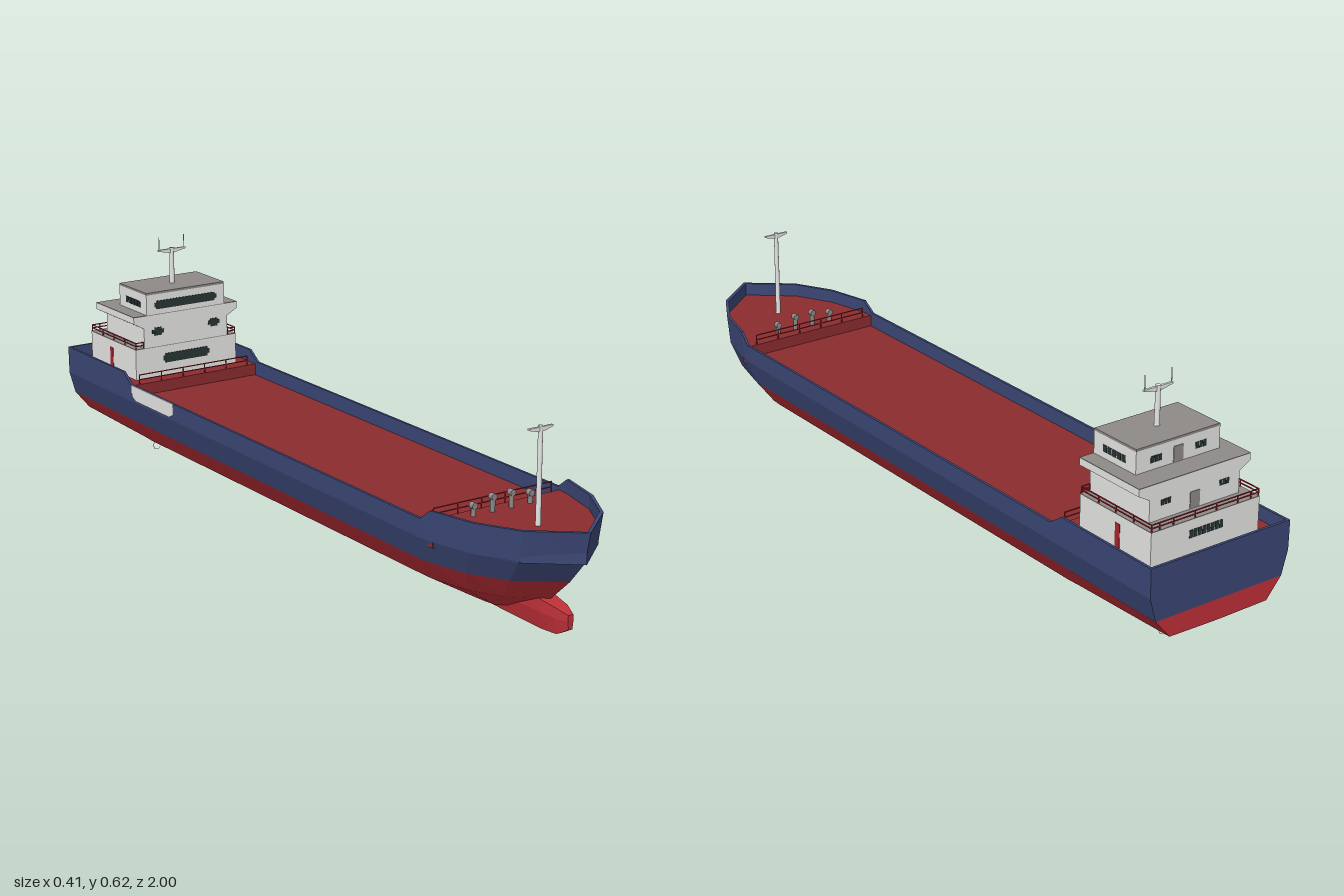
import * as THREE from 'three';

const mat = (name, color, double) => {
  const m = new THREE.MeshStandardMaterial({ color });
  m.name = name;
  if (double) m.side = THREE.DoubleSide;
  return m;
};

export function createModel() {
  const ship = new THREE.Group();
  ship.name = 'cargoShip';
  const blue = mat('hullBlue', 0x3b4674, true);
  const red = mat('hullRed', 0xbe3038, true);
  const deckRed = mat('deckRed', 0x8b2c2e);
  const white = mat('houseWhite', 0xe6e6e5);
  const grey = mat('roofGrey', 0x8e8a88);
  const glass = mat('windowDark', 0x263433);
  const railRed = mat('railRed', 0xa8242d);

  const add = (name, geo, material, parent = ship) => {
    const m = new THREE.Mesh(geo, material);
    m.name = name;
    parent.add(m);
    return m;
  };
  // Box given by its min and max corners
  const box = (name, x0, x1, y0, y1, z0, z1, material, parent) => {
    const m = add(name, new THREE.BoxGeometry(x1 - x0, y1 - y0, z1 - z0), material, parent);
    m.position.set((x0 + x1) / 2, (y0 + y1) / 2, (z0 + z1) / 2);
    return m;
  };
  const rod = (name, x, y0, y1, z, r0, r1, material, parent, sides = 8) => {
    const m = add(name, new THREE.CylinderGeometry(r1, r0, y1 - y0, sides), material, parent);
    m.position.set(x, (y0 + y1) / 2, z);
    return m;
  };
  const shape = (points) => new THREE.Shape(points.map(([x, y]) => new THREE.Vector2(x, y)));
  const extrude = (points, depth) =>
    new THREE.ExtrudeGeometry(shape(points), { depth, bevelEnabled: false });
  // Faceted skin between successive rows of points
  const loft = (rows, closed = true) => {
    const p = [];
    for (let r = 0; r + 1 < rows.length; r++) {
      const a = rows[r], b = rows[r + 1], n = a.length;
      for (let i = 0; i < (closed ? n : n - 1); i++) {
        const j = (i + 1) % n;
        p.push(...a[i], ...b[i], ...b[j], ...a[i], ...b[j], ...a[j]);
      }
    }
    const g = new THREE.BufferGeometry();
    g.setAttribute('position', new THREE.Float32BufferAttribute(p, 3));
    g.computeVertexNormals();
    return g;
  };
  const mirror = (half) => half.map(([x, y, z]) => [-x, y, z]);
  const ring = (half) => [...half, ...mirror(half).reverse()];

  // Hull: one half line per level, running from stern to bow
  const sternZ = [-1, -0.85, -0.69, -0.65];
  const bow = [[0, 1], [0.1, 0.985], [0.45, 0.84], [0.74, 0.56], [1, 0]];
  const level = (w, sternY, y, z0, z1, bowY = bow.map(() => y)) => [
    ...sternZ.map((z, i) => [w, sternY[i], z]),
    ...bow.map(([t, f], i) => [w * f, bowY[i], z0 + (z1 - z0) * t]),
  ];
  const keel = level(0.022, [0.103, 0.098, 0.04, 0.025], 0.025, 0.6, 0.72);
  const bilge = level(0.143, [0.105, 0.101, 0.097, 0.095], 0.095, 0.6, 0.87);
  const water = level(0.185, [0.155, 0.155, 0.155, 0.155], 0.155, 0.62, 0.935);
  const knuckle = level(0.202, [0.215, 0.215, 0.215, 0.215], 0.215, 0.64, 0.985);
  const rim = level(0.203, [0.289, 0.289, 0.289, 0.262], 0.289, 0.65, 1, [0.262, 0.289, 0.289, 0.289, 0.289]);
  const inner = rim.map(([x, y, z]) => [x * 0.967, y, z > 0.7 ? z * 0.99 : Math.max(z, -0.993)]);
  const innerFoot = inner.map(([x, , z]) => [x, 0.212, z]);
  add('lowerHull', loft([ring(keel), ring(bilge), ring(water)]), red);
  add('hullBottom', loft([mirror(keel), keel], false), red);
  add('upperHull', loft([ring(water), ring(knuckle), ring(rim)]), blue);
  add('bulwark', loft([ring(rim), ring(inner), ring(innerFoot)]), blue);

  // Bulbous bow and stern skeg: six-sided sections [z, halfWidth, bottom, top]
  const body = (name, sections) => {
    const rows = sections.map(([z, w, b, t]) => [
      [w * 0.9, t, z], [w, t * 0.6 + b * 0.4, z], [w * 0.7, b, z],
      [-w * 0.7, b, z], [-w, t * 0.6 + b * 0.4, z], [-w * 0.9, t, z]]);
    for (const end of [0, rows.length - 1]) {
      const [z, , b, t] = sections[end];
      const centre = rows[end].map(() => [0, (b + t) / 2, z]);
      end ? rows.push(centre) : rows.unshift(centre);
    }
    add(name, loft(rows), red);
  };
  body('bulbousBow', [[0.62, 0.02, 0.025, 0.08], [0.86, 0.025, 0.025, 0.097],
    [0.91, 0.019, 0.027, 0.09], [0.942, 0.008, 0.045, 0.08]]);
  body('skeg', [[-0.5, 0.025, 0.025, 0.06], [-0.65, 0.024, 0.025, 0.08], [-0.83, 0.01, 0.025, 0.1]]);

  // Propeller
  const prop = new THREE.Group();
  prop.name = 'propeller';
  prop.position.set(0, 0.039, -0.838);
  ship.add(prop);
  add('hub', new THREE.CylinderGeometry(0.008, 0.006, 0.03, 10).rotateX(Math.PI / 2), white, prop);
  const bladeOutline = [[-0.004, 0.004], [0.004, 0.004], [0.011, 0.026], [0.009, 0.04],
    [0, 0.046], [-0.009, 0.04], [-0.011, 0.026]];
  for (let i = 0; i < 5; i++) {
    const blade = add('blade', extrude(bladeOutline, 0.004).translate(0, 0, -0.002).rotateY(0.45), white, prop);
    blade.rotation.z = i * Math.PI * 0.4;
  }

  // Decks
  box('mainDeck', -0.195, 0.195, 0.2, 0.224, -0.67, 0.69, deckRed);
  box('aftDeck', -0.196, 0.196, 0.215, 0.255, -0.993, -0.66, deckRed);
  const fore = ring([[inner[4][0], 0, 0.655], ...inner.slice(5)]);
  add('foreDeck', extrude(fore.map(([x, , z]) => [x, -z]), 0.04)
    .rotateX(-Math.PI / 2).translate(0, 0.215, 0), deckRed);

  // Railings along x or z, with posts and two bars
  const rail = (name, x0, x1, z0, z1, y, h, n) => {
    const g = new THREE.Group();
    g.name = name;
    ship.add(g);
    const r = 0.0012;
    for (const k of [0.5, 1])
      box('bar', x0 - r, x1 + r, y + h * k - r, y + h * k + r, z0 - r, z1 + r, railRed, g);
    for (let i = 0; i <= n; i++) {
      const x = x0 + (x1 - x0) * i / n, z = z0 + (z1 - z0) * i / n;
      box('post', x - r, x + r, y, y + h, z - r, z + r, railRed, g);
    }
  };
  rail('foreRail', -0.17, 0.17, 0.658, 0.658, 0.255, 0.026, 5);
  rail('aftRail', -0.17, 0.17, -0.662, -0.662, 0.255, 0.026, 5);

  // Deckhouse tiers; the middle one flares out to the bridge wings
  box('lowerTier', -0.158, 0.158, 0.25, 0.338, -0.945, -0.7, white);
  box('lowerTierRoof', -0.158, 0.158, 0.338, 0.34, -0.945, -0.7, grey);
  const half = [[0.131, 0.34], [0.131, 0.394], [0.162, 0.411], [0.162, 0.428]];
  add('middleTier', extrude(ring(half), 0.205).translate(0, 0, -0.905), white);
  box('wingDeck', -0.162, 0.162, 0.428, 0.43, -0.905, -0.7, grey);
  box('bridge', -0.122, 0.122, 0.43, 0.485, -0.845, -0.7, white);
  box('bridgeRoof', -0.122, 0.122, 0.485, 0.491, -0.845, -0.7, grey);
  for (const s of [-1, 1]) rail('sideRail', s * 0.156, s * 0.156, -0.943, -0.702, 0.34, 0.017, 4);
  rail('backRail', -0.156, 0.156, -0.943, -0.943, 0.34, 0.017, 5);
  for (const z of [-0.702, -0.943])
    for (const s of [-1, 1]) {
      const a = s * 0.133, b = s * 0.156;
      rail('endRail', Math.min(a, b), Math.max(a, b), z, z, 0.34, 0.017, 1);
    }

  // Front windows: a band with a taller middle
  const frontWindow = (x, y, w, h) => {
    box('window', x - w / 2, x + w / 2, y - h / 4, y + h / 4, -0.701, -0.699, glass);
    box('window', x - w / 2 + 0.007, x + w / 2 - 0.007, y - h / 2, y + h / 2, -0.7015, -0.6985, glass);
  };
  frontWindow(0, 0.455, 0.195, 0.023);
  frontWindow(0, 0.304, 0.146, 0.026);
  for (const s of [-1, 1]) frontWindow(s * 0.088, 0.382, 0.036, 0.022);

  // Rear windows: rows of small panes
  const rearWindow = (x, y, w, h, z, n) => {
    const step = w / n;
    for (let i = 0; i < n; i++) {
      const left = x - w / 2 + i * step;
      box('rearPane', left, left + step * 0.82, y - h / 2, y + h / 2, z - 0.001, z + 0.001, glass);
    }
  };
  rearWindow(0, 0.304, 0.1, 0.02, -0.945, 8);
  for (const s of [-1, 1]) {
    rearWindow(s * 0.085, 0.38, 0.03, 0.014, -0.905, 3);
    rearWindow(s * 0.065, 0.455, 0.034, 0.016, -0.845, 3);
    // Side panes and doors
    for (let i = 0; i < 5; i++)
      box('sidePane', s * 0.122 - 0.001, s * 0.122 + 0.001, 0.446, 0.463,
        -0.81 + i * 0.016, -0.797 + i * 0.016, glass);
    box('sideDoor', s * 0.158 - 0.001, s * 0.158 + 0.001, 0.256, 0.318, -0.84, -0.824, railRed);
  }
  box('bridgeDoor', -0.014, 0.014, 0.432, 0.47, -0.8465, -0.844, grey);
  box('middleDoor', -0.014, 0.014, 0.342, 0.382, -0.9065, -0.904, grey);

  // Masts with a tapered crossbar
  const mast = (name, z, y0, y1, r, arm) => {
    const g = new THREE.Group();
    g.name = name;
    ship.add(g);
    rod('pole', 0, y0, y1, z, r, r * 0.85, white, g, 12);
    const bar = [[-arm, 0], [-arm, -0.004], [-0.008, -0.011], [0.008, -0.011], [arm, -0.004], [arm, 0]];
    add('crossbar', extrude(bar, 0.006).translate(0, y1 - 0.003, z - 0.003), white, g);
    return g;
  };
  mast('foreMast', 0.82, 0.25, 0.488, 0.0065, 0.034);
  const main = mast('mainMast', -0.77, 0.49, 0.589, 0.007, 0.042);
  for (const s of [-1, 1]) rod('antenna', s * 0.039, 0.584, 0.621, -0.77, 0.0012, 0.0012, white, main, 6);

  // Forecastle vents, the inner pair taller
  for (const [x, top] of [[-0.082, 0.288], [-0.027, 0.299], [0.027, 0.299], [0.082, 0.288]]) {
    rod('ventPipe', x, 0.25, top - 0.01, 0.69, 0.006, 0.006, grey);
    const cowl = add('ventCowl', new THREE.CylinderGeometry(0.008, 0.008, 0.014, 12).rotateX(Math.PI / 2), grey);
    cowl.position.set(x, top - 0.008, 0.69);
  }

  // Boarding panel on one side of the hull, with cut lower corners
  const panel = [[-0.645, 0.262], [-0.645, 0.232], [-0.625, 0.222], [-0.45, 0.222], [-0.43, 0.232], [-0.43, 0.262]];
  add('boardingPanel', extrude(panel.map(([z, y]) => [-z, y]), 0.002)
    .rotateY(Math.PI / 2).translate(-0.2045, 0, 0), white);

  return ship;
}
